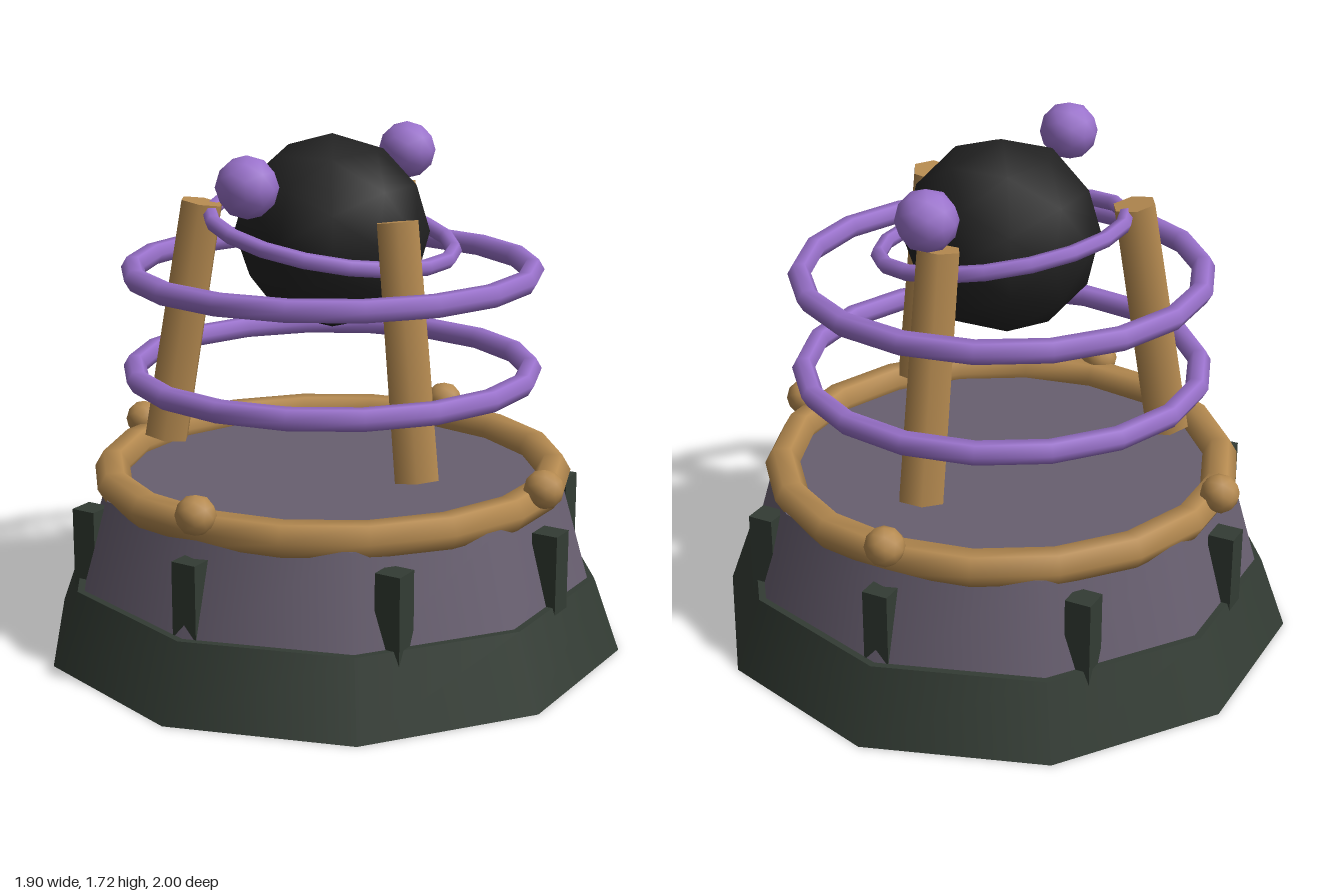
import * as THREE from 'three';

const material = (name, color) => {
  const m = new THREE.MeshStandardMaterial({ color });
  m.name = name;
  return m;
};

export function createModel() {
  const model = new THREE.Group();
  model.name = 'orbPedestal';
  const darkGreen = material('darkGreen', 0x333c34);
  const greyViolet = material('greyViolet', 0x685f70);
  const bronze = material('bronze', 0xb58a50);
  const purple = material('purple', 0x9a72cc);
  const black = material('black', 0x222222);

  const add = (name, geometry, mat, x = 0, y = 0, z = 0) => {
    const mesh = new THREE.Mesh(geometry, mat);
    mesh.name = name;
    mesh.position.set(x, y, z);
    model.add(mesh);
    return mesh;
  };

  // Horizontal ring with a corner at the front
  const ring = (name, radius, tube, y, mat) => {
    const g = new THREE.TorusGeometry(radius, tube, 6, 18);
    g.rotateX(Math.PI / 2).rotateY(Math.PI / 2);
    return add(name, g, mat, 0, y, 0);
  };

  // Ten-sided base and drum
  add('base', new THREE.CylinderGeometry(0.91, 1, 0.25, 10), darkGreen, 0, 0.125, 0);
  add('drum', new THREE.CylinderGeometry(0.8, 0.9, 0.35, 10), greyViolet, 0, 0.375, 0);

  // Eight square buttresses round the drum
  const buttress = new THREE.BoxGeometry(0.088, 0.3, 0.088);
  for (let i = 0; i < 8; i++) {
    const a = (i * Math.PI) / 4;
    add('buttress', buttress, darkGreen, Math.sin(a) * 0.83, 0.342, Math.cos(a) * 0.83);
  }

  // Rim with four studs
  ring('rim', 0.757, 0.06, 0.575, bronze);
  const stud = new THREE.IcosahedronGeometry(0.066, 1);
  for (let i = 0; i < 4; i++) {
    const a = (i * Math.PI) / 2;
    add('stud', stud, bronze, Math.sin(a) * 0.802, 0.63, Math.cos(a) * 0.802);
  }

  // Three hexagonal pillars leaning inwards
  const pillar = new THREE.CylinderGeometry(0.075, 0.08, 0.82, 6);
  pillar.rotateY(Math.PI / 2);
  for (let i = 0; i < 3; i++) {
    const a = Math.PI + (i * Math.PI * 2) / 3;
    const mesh = add('pillar', pillar, bronze, Math.sin(a) * 0.5, 1.09, Math.cos(a) * 0.5);
    mesh.rotation.order = 'YXZ';
    mesh.rotation.set(-0.165, a, 0);
  }

  // Floating rings
  ring('lowerRing', 0.67, 0.039, 0.932, purple);
  ring('upperRing', 0.67, 0.039, 1.272, purple);
  ring('tiltedRing', 0.412, 0.027, 1.4, purple).rotation.z = -0.18;

  // Orb and its two satellites
  add('orb', new THREE.IcosahedronGeometry(0.326, 1), black, 0, 1.397, 0);
  const satellite = new THREE.IcosahedronGeometry(0.1, 1);
  for (const side of [-1, 1]) add('satellite', satellite, purple, 0, 1.61, side * 0.5);

  return model;
}
